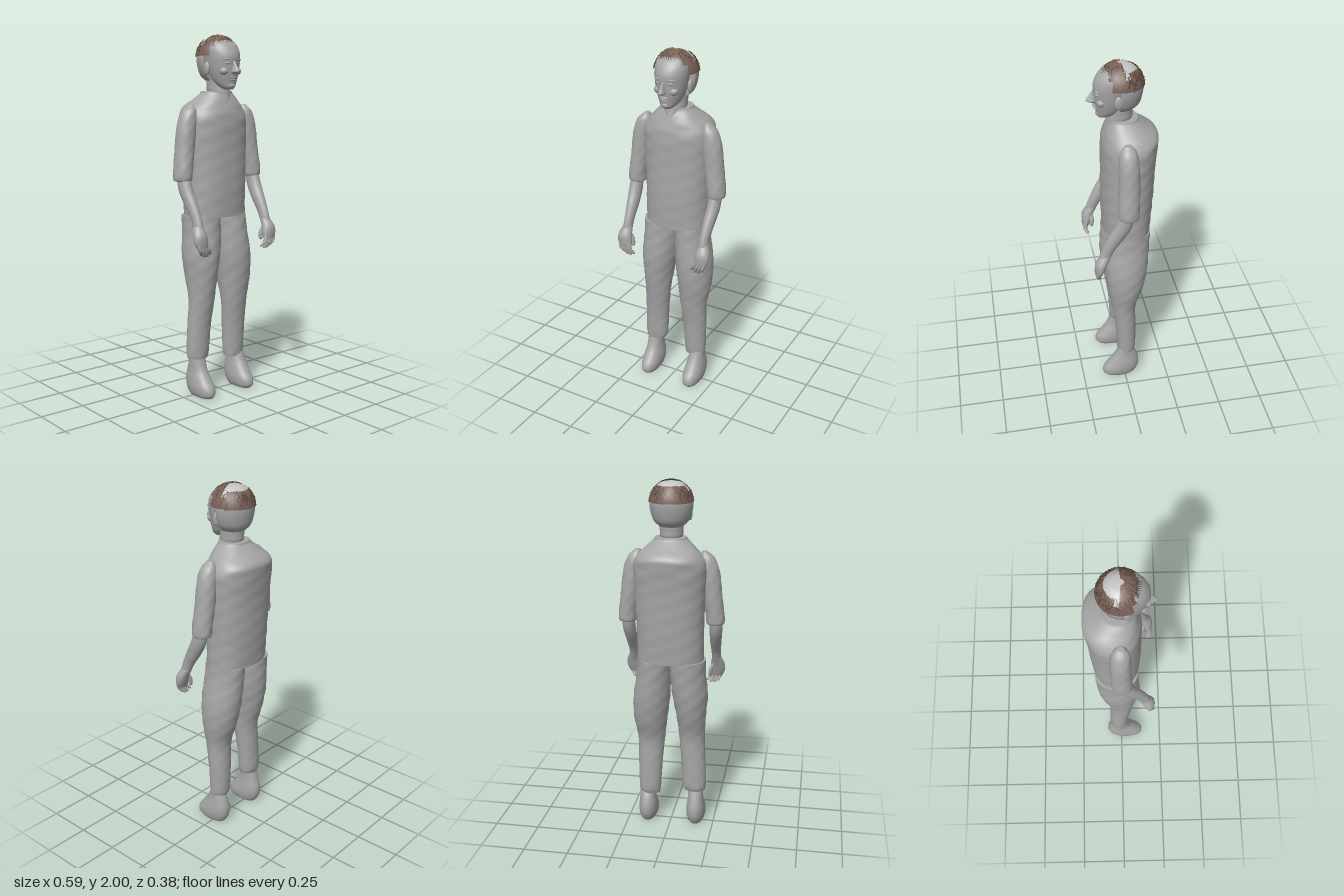
import * as THREE from 'three';

const mat = (name, color, side = THREE.FrontSide) => {
  const m = new THREE.MeshStandardMaterial({ color, side });
  m.name = name;
  return m;
};

// Closed skin through horizontal oval rings, listed from low to high: [x, y, z, halfWidth, halfDepth]
function loft(rings, { seg = 32, steps = 6, power = 2, wrinkle = 0, maxZ = Infinity } = {}) {
  const mid = new THREE.CatmullRomCurve3(rings.map(r => new THREE.Vector3(r[0], r[1], r[2])), false, 'catmullrom');
  const size = new THREE.CatmullRomCurve3(rings.map(r => new THREE.Vector3(r[3], r[4], 0)), false, 'catmullrom');
  const n = (rings.length - 1) * steps;
  const pos = [], idx = [];
  const bend = v => Math.sign(v) * Math.abs(v) ** (2 / power);
  for (let i = 0; i <= n; i++) {
    const c = mid.getPoint(i / n), r = size.getPoint(i / n);
    for (let j = 0; j < seg; j++) {
      const a = j / seg * Math.PI * 2;
      const k = 1 + wrinkle * (Math.sin(3 * a + 31 * c.y) * Math.sin(47 * c.y + 2 * a) + 0.6 * Math.sin(5 * a - 70 * c.y));
      pos.push(c.x + r.x * k * bend(Math.sin(a)), c.y, Math.min(maxZ, c.z + r.y * k * bend(Math.cos(a))));
    }
  }
  for (let i = 0; i < n; i++) for (let j = 0; j < seg; j++) {
    const a = i * seg + j, b = i * seg + (j + 1) % seg;
    idx.push(a, b, b + seg, a, b + seg, a + seg);
  }
  // flat end caps on their own vertices
  for (const row of [0, n]) {
    const start = pos.length / 3, c = mid.getPoint(row / n);
    pos.push(...pos.slice(row * seg * 3, (row + 1) * seg * 3), c.x, c.y, Math.min(maxZ, c.z));
    for (let j = 0; j < seg; j++) {
      const a = start + j, b = start + (j + 1) % seg;
      idx.push(...(row ? [a, b, start + seg] : [b, a, start + seg]));
    }
  }
  const g = new THREE.BufferGeometry();
  g.setAttribute('position', new THREE.Float32BufferAttribute(pos, 3));
  g.setIndex(idx);
  g.computeVertexNormals();
  return g;
}

export function createModel() {
  const model = new THREE.Group();
  const grey = mat('body grey', 0xa6a6a6);
  const pale = mat('scalp grey', 0xc4c4c4);
  const brown = mat('hair brown', 0x7a6257, THREE.DoubleSide);
  const dark = mat('dark hair brown', 0x4c3c34, THREE.DoubleSide);

  const add = (name, geo, m = grey, parent = model) => {
    const mesh = new THREE.Mesh(geo, m);
    mesh.name = name;
    parent.add(mesh);
    return mesh;
  };
  const blob = (name, x, y, z, rx, ry, rz, m = grey) => {
    const mesh = add(name, new THREE.SphereGeometry(1, 20, 14), m);
    mesh.position.set(x, y, z);
    mesh.scale.set(rx, ry, rz);
    return mesh;
  };

  // Shirt
  add('shirt', loft([
    [0, 1.01, -0.03, 0.185, 0.13], [0, 1.2, -0.035, 0.186, 0.14], [0, 1.4, -0.04, 0.194, 0.143],
    [0, 1.54, -0.048, 0.198, 0.148], [0, 1.6, -0.053, 0.175, 0.143], [0, 1.65, -0.03, 0.125, 0.105],
    [0, 1.68, -0.018, 0.093, 0.08], [0, 1.693, -0.016, 0.085, 0.076],
  ], { seg: 48, steps: 8, power: 2.25, wrinkle: 0.009 }));

  // Trouser legs and feet: the two legs differ slightly
  add('rightTrouserLeg', loft([
    [-0.14, 0.21, -0.012, 0.06, 0.048], [-0.137, 0.25, -0.014, 0.068, 0.055], [-0.13, 0.4, -0.01, 0.07, 0.06],
    [-0.12, 0.55, 0, 0.074, 0.073], [-0.115, 0.68, -0.01, 0.085, 0.102], [-0.11, 0.8, -0.018, 0.1, 0.118],
    [-0.1, 0.92, -0.025, 0.1, 0.12], [-0.098, 1.015, -0.03, 0.099, 0.12],
  ], { wrinkle: 0.015 }));
  add('leftTrouserLeg', loft([
    [0.122, 0.175, -0.012, 0.058, 0.045], [0.123, 0.22, -0.014, 0.063, 0.054], [0.12, 0.38, -0.01, 0.07, 0.06],
    [0.115, 0.52, 0, 0.078, 0.07], [0.118, 0.65, -0.01, 0.096, 0.1], [0.11, 0.78, -0.018, 0.104, 0.118],
    [0.095, 0.92, -0.025, 0.095, 0.12], [0.091, 1.015, -0.03, 0.092, 0.12],
  ], { wrinkle: 0.015 }));
  for (const [name, x, lift] of [['rightFoot', -0.145, 0.02], ['leftFoot', 0.138, 0]]) {
    add(name, loft([
      [x, 0, 0.03, 0.04, 0.085], [x, 0.02, 0.03, 0.05, 0.1], [x, 0.055, 0.02, 0.055, 0.104],
      [x, 0.1, 0.002, 0.052, 0.088], [x, 0.15, -0.008, 0.045, 0.064], [x, 0.2 + lift, -0.008, 0.042, 0.04],
      [x, 0.24 + lift, -0.01, 0.035, 0.03],
    ], { power: 2.2 }));
  }

  // Arms
  for (const s of [-1, 1]) {
    const side = s < 0 ? 'right' : 'left';
    add(side + 'Sleeve', loft([
      [s * 0.245, 1.215, -0.003, 0.038, 0.042], [s * 0.245, 1.225, -0.003, 0.05, 0.054], [s * 0.243, 1.27, -0.003, 0.051, 0.057],
      [s * 0.227, 1.38, -0.008, 0.053, 0.056], [s * 0.212, 1.5, -0.01, 0.054, 0.054],
      [s * 0.197, 1.58, -0.01, 0.042, 0.045], [s * 0.183, 1.62, -0.01, 0.014, 0.02],
    ], { wrinkle: 0.02 }));
    add(side + 'Forearm', loft([
      [s * 0.24, 0.96, 0.132, 0.025, 0.03], [s * 0.239, 1.02, 0.108, 0.026, 0.036], [s * 0.241, 1.1, 0.062, 0.032, 0.046],
      [s * 0.245, 1.17, 0.025, 0.035, 0.046], [s * 0.245, 1.26, 0, 0.034, 0.036],
    ]));
    add(side + 'Hand', loft([
      [s * 0.238, 0.865, 0.16, 0.034, 0.018], [s * 0.243, 0.9, 0.155, 0.043, 0.027],
      [s * 0.245, 0.94, 0.146, 0.039, 0.033], [s * 0.24, 0.985, 0.122, 0.026, 0.03],
    ]));
    for (let f = 0; f < 4; f++) {
      const x = 0.268 - f * 0.019, tip = 0.835 - 0.018 * Math.sin((f + 0.5) / 4 * Math.PI);
      add(side + 'Finger', loft([
        [s * (x - 0.026), tip, 0.155, 0.003, 0.003], [s * (x - 0.023), tip + 0.007, 0.158, 0.009, 0.01],
        [s * (x - 0.008), 0.86, 0.168, 0.01, 0.012], [s * x, 0.895, 0.162, 0.011, 0.013],
      ], { seg: 10, steps: 4 }));
    }
    add(side + 'Thumb', loft([
      [s * 0.205, 0.865, 0.13, 0.004, 0.004], [s * 0.204, 0.875, 0.13, 0.01, 0.011],
      [s * 0.209, 0.91, 0.128, 0.012, 0.013], [s * 0.228, 0.95, 0.135, 0.012, 0.014],
    ], { seg: 10, steps: 4 }));
  }

  // Neck and head
  add('neck', loft([
    [0, 1.65, 0.03, 0.035, 0.05], [0, 1.69, 0.005, 0.06, 0.066], [0, 1.73, 0, 0.063, 0.066], [0, 1.79, 0, 0.066, 0.07],
  ]));
  add('face', loft([
    [0, 1.702, 0.088, 0.02, 0.022], [0, 1.717, 0.075, 0.041, 0.046], [0, 1.745, 0.055, 0.06, 0.07],
    [0, 1.785, 0.045, 0.075, 0.087], [0, 1.83, 0.04, 0.085, 0.095], [0, 1.88, 0.037, 0.091, 0.1],
    [0, 1.925, 0.028, 0.091, 0.09], [0, 1.96, 0.015, 0.075, 0.07], [0, 1.98, 0.01, 0.035, 0.035],
  ]));
  add('skullBack', loft([
    [0, 1.75, -0.005, 0.065, 0.07], [0, 1.78, -0.003, 0.095, 0.1], [0, 1.83, 0, 0.113, 0.117],
    [0, 1.88, 0, 0.117, 0.122], [0, 1.925, 0, 0.105, 0.109],
  ], { maxZ: 0.01 }));
  add('scalp', loft([
    [0, 1.925, 0, 0.105, 0.109], [0, 1.958, 0, 0.082, 0.086], [0, 1.98, 0, 0.05, 0.053], [0, 1.987, 0, 0.012, 0.012],
  ], { maxZ: 0.01 }), pale);

  // Facial features
  add('nose', loft([
    [0, 1.786, 0.132, 0.012, 0.018], [0, 1.796, 0.141, 0.018, 0.033], [0, 1.808, 0.139, 0.014, 0.032],
    [0, 1.83, 0.132, 0.009, 0.023], [0, 1.852, 0.125, 0.008, 0.016],
  ], { seg: 16 }));
  blob('upperLip', 0, 1.767, 0.125, 0.026, 0.006, 0.017);
  blob('lowerLip', 0, 1.755, 0.12, 0.022, 0.006, 0.016);
  blob('chin', 0, 1.723, 0.107, 0.024, 0.017, 0.02);
  for (const s of [-1, 1]) {
    blob('eye', s * 0.034, 1.842, 0.119, 0.016, 0.008, 0.013);
    blob('brow', s * 0.036, 1.863, 0.117, 0.024, 0.006, 0.016).rotation.z = s * -0.1;
    blob('cheek', s * 0.043, 1.8, 0.102, 0.026, 0.022, 0.024);
    blob('ear', s * 0.097, 1.815, 0.022, 0.013, 0.037, 0.021);
  }

  // Hair shells: a front cap and a band round the back
  const hairCenter = new THREE.Vector3(0, 1.87, -0.004);
  const radii = new THREE.Vector3(0.121, 0.126, 0.124);
  const shell = (name, phi, phiLen, theta, thetaLen) => {
    const mesh = add(name, new THREE.SphereGeometry(1, 32, 12, phi, phiLen, theta, thetaLen), brown);
    mesh.position.copy(hairCenter);
    mesh.scale.copy(radii);
  };
  shell('frontHair', -0.1, Math.PI + 0.2, 0.12, 0.95);
  shell('backHair', Math.PI + 0.35, Math.PI - 0.7, 0.72, 0.78);
  shell('rightSideHair', -0.35, 0.85, 1.0, 0.48);
  shell('leftSideHair', Math.PI - 0.5, 0.85, 1.0, 0.48);

  // Loose strands: narrow tapering strips lying over the hair
  let seed = 7;
  const rnd = () => (seed = (seed * 16807) % 2147483647) / 2147483647;
  const p = [], idx = [];
  const onHead = (phi, theta, k) => [
    hairCenter.x - radii.x * k * Math.cos(phi) * Math.sin(theta),
    Math.min(2, hairCenter.y + radii.y * k * Math.cos(theta)),
    hairCenter.z + radii.z * k * Math.sin(phi) * Math.sin(theta)];
  for (let i = 0; i < 170; i++) {
    const phi = rnd() * Math.PI * 2, front = Math.sin(phi) > -0.1;
    const theta = front ? 0.25 + rnd() * 0.55 : 0.65 + rnd() * 0.5;
    const length = 0.25 + rnd() * 0.25, slant = (rnd() - 0.5) * 0.7;
    const base = p.length / 3;
    for (let j = 0; j <= 4; j++) {
      const t = j / 4, w = 0.018 * (1 - t) + 0.002, k = 1.012 + 0.03 * t * rnd();
      p.push(...onHead(phi + slant * t - w, theta + length * t, k), ...onHead(phi + slant * t + w, theta + length * t, k));
      if (j) idx.push(base + 2 * j - 2, base + 2 * j - 1, base + 2 * j, base + 2 * j - 1, base + 2 * j + 1, base + 2 * j);
    }
  }
  const strands = new THREE.BufferGeometry();
  strands.setAttribute('position', new THREE.Float32BufferAttribute(p, 3));
  strands.setIndex(idx);
  strands.computeVertexNormals();
  add('hairStrands', strands, dark);

  return model;
}
